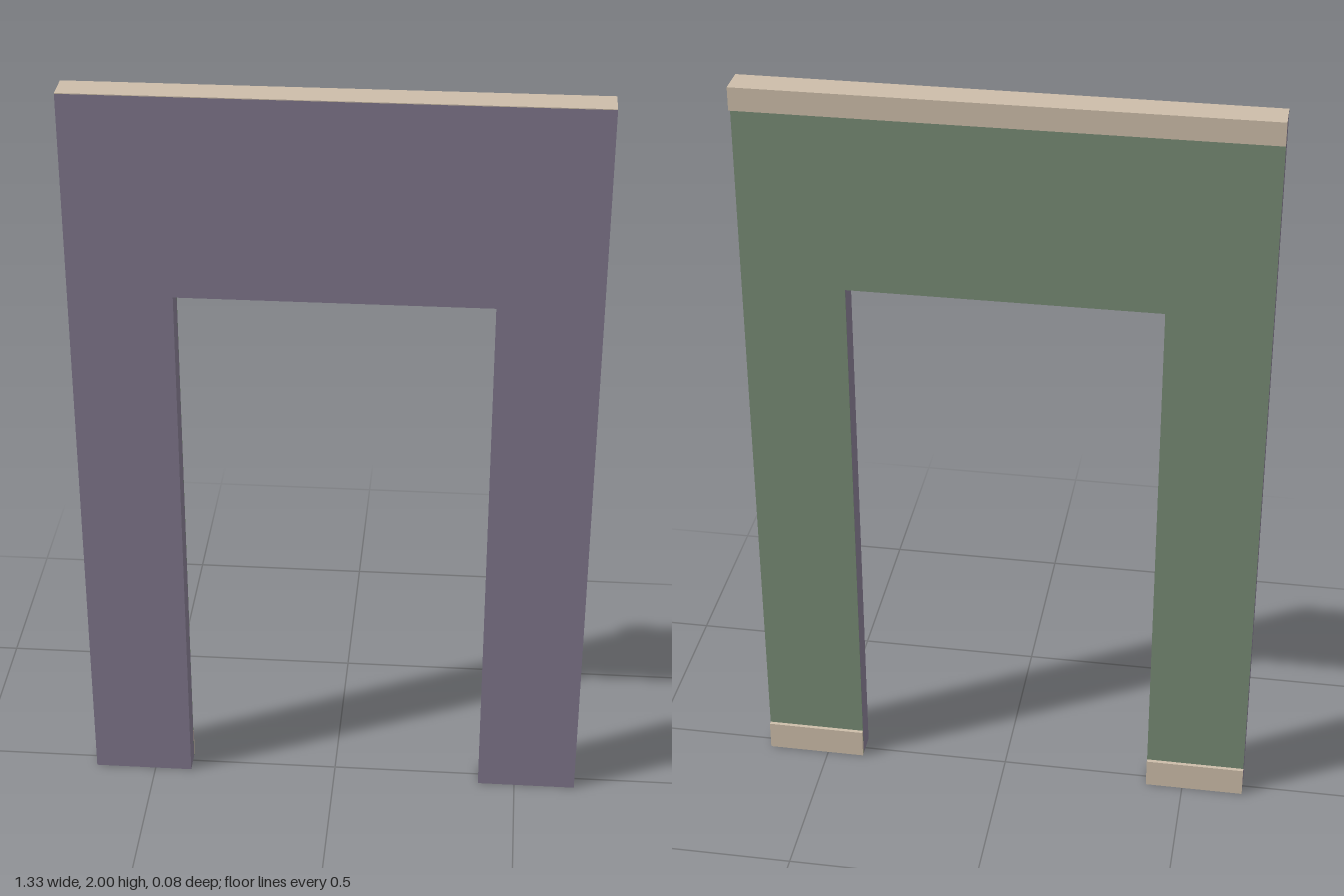
import * as THREE from 'three';

const HALF_W = 0.665, HEIGHT = 2, DOOR_HALF = 0.4, DOOR_TOP = 1.47;
const FRONT = 0.041, WALL_BACK = -0.025, CROWN_BACK = -0.041, BASE_BACK = -0.035;
const SKIN = 0.002; // thickness of the thin coloured faces

const makeMaterial = (name, color) => {
  const material = new THREE.MeshStandardMaterial({ color });
  material.name = name;
  return material;
};

// Wall outline with the doorway cut up from the floor
function wallOutline(top) {
  return new THREE.Shape([
    [-HALF_W, 0], [-DOOR_HALF, 0], [-DOOR_HALF, DOOR_TOP], [DOOR_HALF, DOOR_TOP],
    [DOOR_HALF, 0], [HALF_W, 0], [HALF_W, top], [-HALF_W, top],
  ].map(([x, y]) => new THREE.Vector2(x, y)));
}

export function createModel() {
  const group = new THREE.Group();
  group.name = 'doorwayWall';
  const purple = makeMaterial('purple wall paint', 0x7f768b);
  const green = makeMaterial('green wall paint', 0x758973);
  const beige = makeMaterial('beige trim', 0xcbbca8);

  const add = (name, geometry, material) => {
    const mesh = new THREE.Mesh(geometry, material);
    mesh.name = name;
    group.add(mesh);
  };
  const slab = (name, top, z0, z1, material) => {
    const geometry = new THREE.ExtrudeGeometry(wallOutline(top), { depth: z1 - z0, bevelEnabled: false });
    add(name, geometry.translate(0, 0, z0), material);
  };
  const box = (name, x0, x1, y0, y1, z0, z1, material) => {
    const geometry = new THREE.BoxGeometry(x1 - x0, y1 - y0, z1 - z0);
    add(name, geometry.translate((x0 + x1) / 2, (y0 + y1) / 2, (z0 + z1) / 2), material);
  };

  // Wall body, with a differently painted back face
  slab('wall', HEIGHT - SKIN, WALL_BACK + SKIN, FRONT, purple);
  slab('backFace', HEIGHT - SKIN, WALL_BACK, WALL_BACK + SKIN, green);

  // Top edge and crown moulding along the back
  box('topEdge', -HALF_W, HALF_W, HEIGHT - SKIN, HEIGHT, WALL_BACK, FRONT, beige);
  box('crownMoulding', -HALF_W, HALF_W, 1.94, HEIGHT, CROWN_BACK, WALL_BACK, beige);

  // Skirting boards at the back of each leg
  box('leftSkirting', DOOR_HALF, HALF_W, 0, 0.08, BASE_BACK, WALL_BACK, beige);
  box('rightSkirting', -HALF_W, -DOOR_HALF, 0, 0.08, BASE_BACK, WALL_BACK, beige);

  return group;
}
